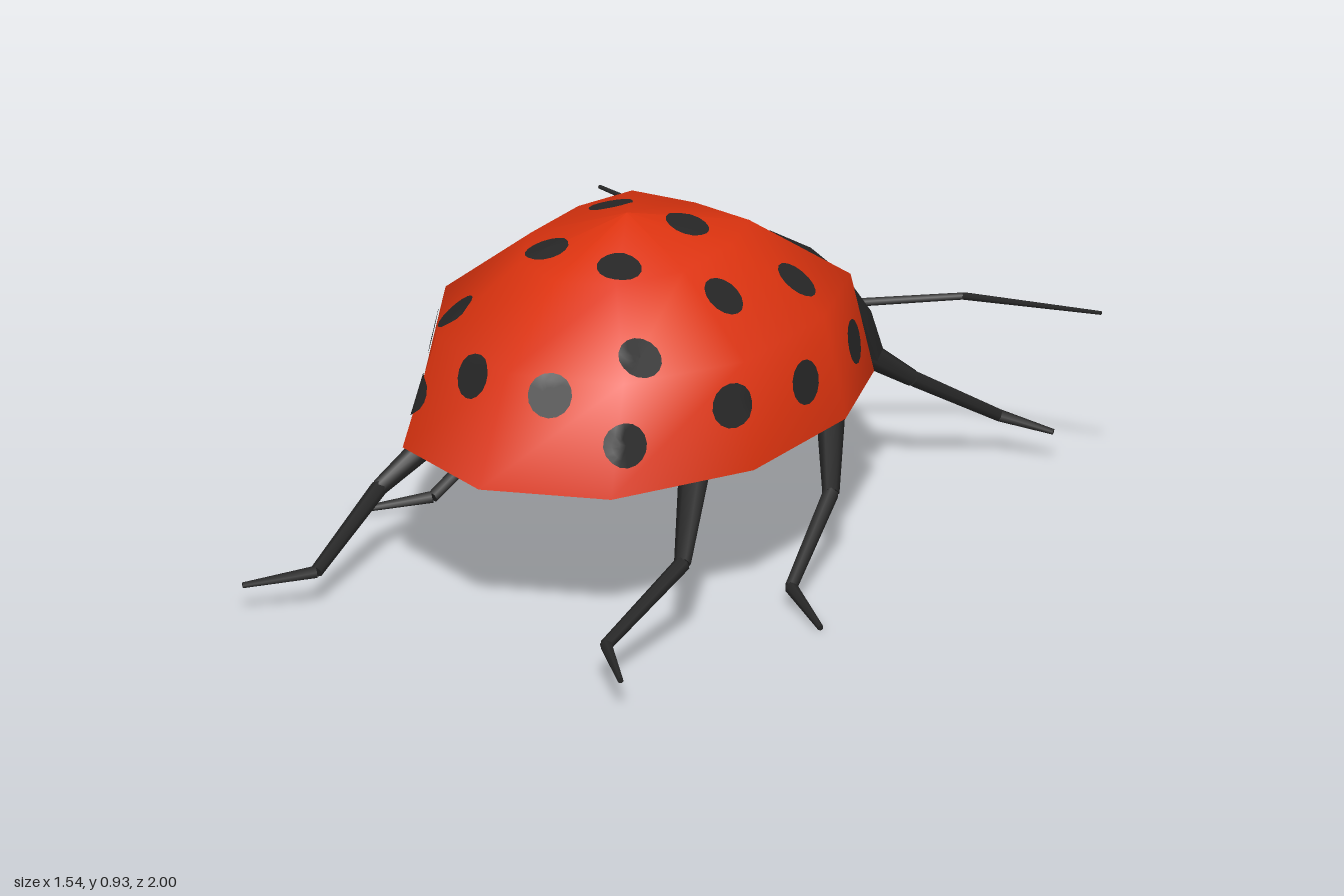
import * as THREE from 'three';

const shellRed = new THREE.MeshStandardMaterial({ color: 0xdc330f });
shellRed.name = 'shell red';
const black = new THREE.MeshStandardMaterial({ color: 0x262626 });
black.name = 'beetle black';

const V = (x, y, z) => new THREE.Vector3(x, y, z);

// Skin a series of cross-sections with equal point counts
function loft(rings, closed) {
  const n = rings[0].length, index = [];
  for (let i = 0; i < rings.length - 1; i++) {
    for (let j = 0; j < (closed ? n : n - 1); j++) {
      const k = (j + 1) % n;
      const a = i * n + j, b = i * n + k, c = a + n, d = b + n;
      index.push(a, b, d, a, d, c);
    }
  }
  const g = new THREE.BufferGeometry().setFromPoints(rings.flat());
  g.setIndex(index);
  g.computeVertexNormals();
  return g;
}

function add(parent, name, geometry, material) {
  const mesh = new THREE.Mesh(geometry, material);
  mesh.name = name;
  parent.add(mesh);
  return mesh;
}

// Ten-sided outline of the shell, scaled about its crown at z = 0.1
const half = [[0, 0.78], [0.32, 0.65], [0.51, 0.28], [0.51, -0.14], [0.39, -0.45], [0, -0.49]];
const outline = [...half, ...half.slice(1, 5).reverse().map(([x, z]) => [-x, z])];
const shellRing = (y, sx, back, front = back) =>
  outline.map(([x, z]) => V(x * sx, y, 0.1 + (z - 0.1) * (z > 0.1 ? back : front)));

// Round patch laid onto the shell surface
function spotGeometry(shell, x, y, z) {
  const normal = V(x / 0.26, (y - 0.4) / 0.28, (z - 0.1) / 0.46).normalize();
  const u = V(0, 1, 0).cross(normal).normalize();
  const v = normal.clone().cross(u);
  const ray = new THREE.Raycaster();
  const rings = [0.058, 0.038, 0.019, 0].map(r =>
    Array.from({ length: 16 }, (_, i) => {
      const a = i / 16 * Math.PI * 2;
      const p = V(x, y, z).addScaledVector(u, r * Math.cos(a)).addScaledVector(v, r * Math.sin(a));
      ray.set(p.clone().addScaledVector(normal, 0.4), normal.clone().negate());
      const hit = ray.intersectObject(shell)[0];
      return (hit ? hit.point : p).clone().addScaledVector(normal, 0.005);
    }));
  return loft(rings, true);
}

// Jointed limb made of tapered six-sided segments
function limb(name, points, radii) {
  const group = new THREE.Group();
  group.name = name;
  for (let i = 0; i < points.length - 1; i++) {
    const a = points[i], b = points[i + 1];
    const dir = b.clone().sub(a);
    const g = new THREE.CylinderGeometry(radii[i + 1], radii[i], dir.length(), 6);
    const m = add(group, 'segment' + (i + 1), g, black);
    m.position.copy(a).lerp(b, 0.5);
    m.quaternion.setFromUnitVectors(V(0, 1, 0), dir.normalize());
  }
  return group;
}

export function createModel() {
  const model = new THREE.Group();
  model.name = 'beetle';
  const body = new THREE.Group();
  body.name = 'body';
  body.position.x = -0.02;
  model.add(body);

  // Domed shell, inset lower rim and flat belly
  const base = shellRing(0.4, 1, 1);
  const inset = shellRing(0.35, 0.74, 0.74);
  const shell = add(body, 'shell', loft([
    base, shellRing(0.675, 0.9, 0.81, 0.91), shellRing(0.855, 0.46, 0.49, 0.53), shellRing(0.933, 0, 0),
  ], true), shellRed);
  add(body, 'shellRim', loft([inset, base], true), shellRed);
  add(body, 'belly', loft([shellRing(0.35, 0, 0), inset], true), black);

  // Eleven spots on each wing case
  const spots = [
    [0.115, 0.79, -0.27], [0.115, 0.885, 0], [0.11, 0.87, 0.3], [0.28, 0.715, 0.46],
    [0.127, 0.65, 0.65], [0.32, 0.785, 0.14], [0.345, 0.735, -0.14], [0.41, 0.53, -0.31],
    [0.485, 0.545, 0.01], [0.45, 0.57, 0.3], [0.317, 0.525, 0.58],
  ];
  shell.material.side = THREE.FrontSide;
  for (const s of [1, -1]) {
    for (const [x, y, z] of spots) add(body, 'spot', spotGeometry(shell, s * x, y, z), black);
  }

  // Head: arches shrinking from the shell to the snout
  const side = [[0.36, 0.4, -0.51], [0.31, 0.39, -0.61], [0.2, 0.385, -0.69], [0, 0.375, -0.755]];
  const crown = [[0.72, -0.435], [0.66, -0.56], [0.57, -0.69], [0.375, -0.755]];
  const n = 8;
  const arches = side.map(([x, y, z], k) => Array.from({ length: n + 1 }, (_, j) => {
    const a = Math.PI * (1 - j / n), t = Math.sin(a);
    return V(x * Math.cos(a), y + (crown[k][0] - y) * t, z + (crown[k][1] - z) * t);
  }));
  add(body, 'head', loft(arches), black);
  add(body, 'headUnderside', loft(side.map(([x, y, z]) => [V(x, y, z), V(-x, y, z)])), black);
  add(body, 'headBack', loft([arches[0].map(() => V(0, 0.4, -0.51)), arches[0]]), black);

  // Three legs and one antenna per side
  const legs = {
    frontLeg: [[0.2, 0.4, -0.58], [0.32, 0.27, -0.73], [0.44, 0.12, -0.95], [0.575, 0.09, -0.995]],
    middleLeg: [[0.35, 0.39, -0.31], [0.485, 0.2, -0.11], [0.55, 0.05, 0.17], [0.715, 0.012, 0.28]],
    hindLeg: [[0.35, 0.39, 0.31], [0.465, 0.22, 0.54], [0.445, 0.1, 0.86], [0.58, 0.078, 0.995]],
  };
  for (const s of [1, -1]) {
    const label = s > 0 ? 'left ' : 'right ';
    for (const [name, pts] of Object.entries(legs)) {
      body.add(limb(label + name, pts.map(([x, y, z]) => V(s * x, y, z)), [0.042, 0.022, 0.017, 0.008]));
    }
    body.add(limb(label + 'antenna', [
      V(s * 0.12, 0.44, -0.7), V(s * 0.4, 0.475, -0.845), V(s * 0.77 + 0.02, 0.5, -0.893),
    ], [0.012, 0.01, 0.005]));
  }
  return model;
}
